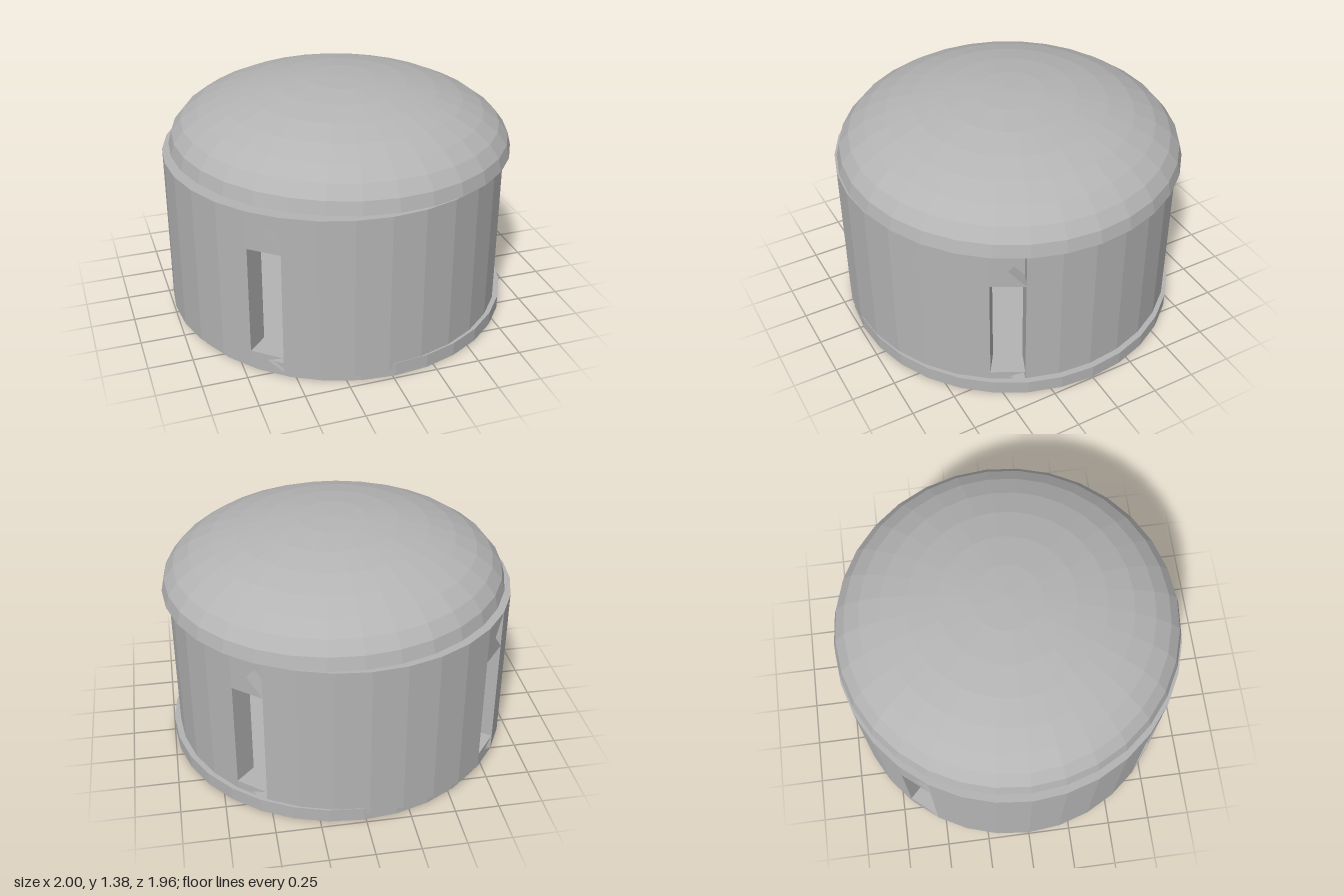
import * as THREE from 'three';

const SIDES = 32;
const STEP = (Math.PI * 2) / SIDES;
const OUTER = 0.98;
const INNER = 0.84;

const grey = new THREE.MeshStandardMaterial({ color: 0xb4b4b4 });
grey.name = 'plain grey';

function part(name, geometry, parent) {
  // split the faces so that every facet stays flat
  const flat = geometry.index ? geometry.toNonIndexed() : geometry;
  flat.computeVertexNormals();
  const mesh = new THREE.Mesh(flat, grey);
  mesh.name = name;
  parent.add(mesh);
  return mesh;
}

// Faceted arc of wall between two side numbers, counted from +x towards +z
function wallArc(from, to, rIn, rOut, y0, y1) {
  const pts = [];
  const add = (r, i) =>
    pts.push(new THREE.Vector2(r * Math.cos(i * STEP), -r * Math.sin(i * STEP)));
  for (let i = from; i <= to; i++) add(rOut, i);
  for (let i = to; i >= from; i--) add(rIn, i);
  return new THREE.ExtrudeGeometry(new THREE.Shape(pts), { depth: y1 - y0, bevelEnabled: false })
    .rotateX(-Math.PI / 2)
    .translate(0, y0, 0);
}

// Slot filler with a V-shaped notch cut into one side
function notchedBlock(y0, y1, notchY) {
  const w = OUTER * Math.sin(STEP / 2);
  const shape = new THREE.Shape([
    new THREE.Vector2(-w, y0),
    new THREE.Vector2(w, y0),
    new THREE.Vector2(0, notchY),
    new THREE.Vector2(w, y1),
    new THREE.Vector2(-w, y1),
  ]);
  return new THREE.ExtrudeGeometry(shape, { depth: 0.08, bevelEnabled: false })
    .translate(0, 0, OUTER * Math.cos(STEP / 2) - 0.08);
}

export function createModel() {
  const model = new THREE.Group();
  model.name = 'domedDrum';

  // Base disc
  const base = part('base', new THREE.CylinderGeometry(OUTER, OUTER, 0.08, SIDES), model);
  base.position.set(0.015, 0.04, 0);

  // Hollow drum wall, cut by four slots that are one facet wide
  const drum = new THREE.Group();
  drum.name = 'drum';
  drum.position.x = -0.02;
  model.add(drum);
  const slots = [2, 11, 19, 27];
  slots.forEach((slot, k) => {
    const next = k < 3 ? slots[k + 1] : slots[0] + SIDES;
    part('wallPanel', wallArc(slot + 1, next, INNER, OUTER, 0.04, 0.983), drum);

    // Backing pieces above and below the slot opening
    part('slotLintelBack', wallArc(slot, slot + 1, INNER, 0.9, 0.765, 0.983), drum);
    part('slotSillBack', wallArc(slot, slot + 1, INNER, 0.9, 0.04, 0.13), drum);

    // Notched faces of the slot ends
    const ends = new THREE.Group();
    ends.name = 'slotEnds';
    ends.rotation.y = Math.PI / 2 - (slot + 0.5) * STEP;
    part('slotLintel', notchedBlock(0.765, 0.983, 0.87), ends);
    part('slotSill', notchedBlock(0.04, 0.13, 0.095), ends);
    drum.add(ends);
  });

  // Hollow dome lid, sitting slightly off centre and tilted
  const profile = [];
  for (let i = 0; i <= 8; i++) {
    const a = (i / 8) * Math.PI / 2;
    profile.push(new THREE.Vector2(i === 8 ? 0 : OUTER * Math.cos(a), 0.377 * Math.sin(a)));
  }
  for (let i = 8; i >= 0; i--) {
    const a = (i / 8) * Math.PI / 2;
    profile.push(new THREE.Vector2(i === 8 ? 0 : INNER * Math.cos(a), 0.3 * Math.sin(a)));
  }
  profile.push(new THREE.Vector2(OUTER, 0));
  const dome = part('domeLid', new THREE.LatheGeometry(profile, SIDES), model);
  dome.position.set(0.018, 1.0, 0);
  dome.rotation.z = -0.0155;

  return model;
}
